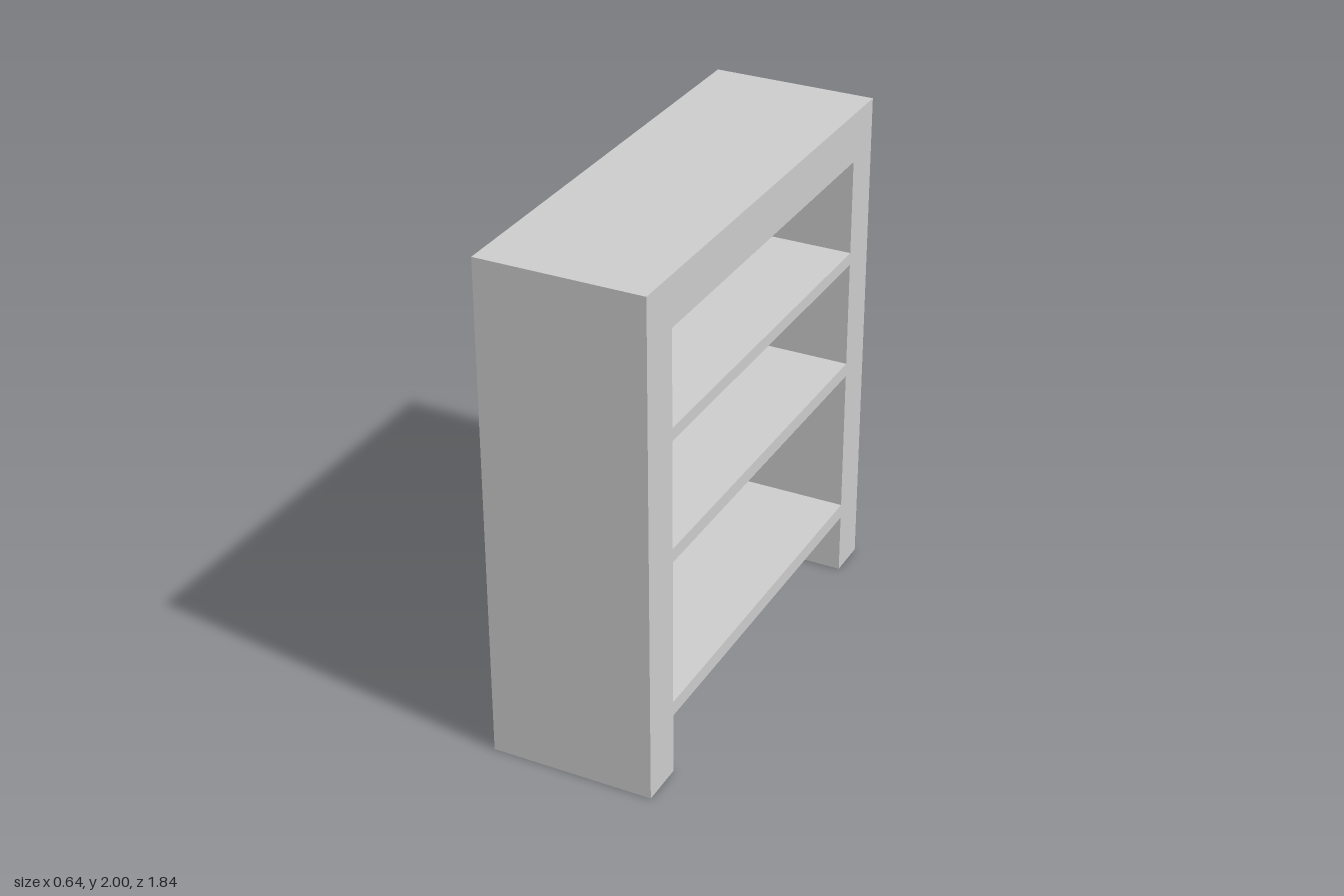
import * as THREE from 'three';

const HALF_DEPTH = 0.322; // along x
const HALF_WIDTH = 0.918; // along z
const HEIGHT = 2;
const INNER_FRONT = 0.74, INNER_BACK = -0.753; // inner faces of the side panels
const TOP_UNDERSIDE = 1.806;

export function createModel() {
  const group = new THREE.Group();
  const material = new THREE.MeshStandardMaterial({ color: 0xcccccc, flatShading: true });

  // Frame: two thick side panels joined by the top, as one arch outline (z, y)
  const outline = new THREE.Shape([
    [-HALF_WIDTH, 0], [INNER_BACK, 0], [INNER_BACK, TOP_UNDERSIDE],
    [INNER_FRONT, TOP_UNDERSIDE], [INNER_FRONT, 0], [HALF_WIDTH, 0],
    [HALF_WIDTH, HEIGHT], [-HALF_WIDTH, HEIGHT],
  ].map(([z, y]) => new THREE.Vector2(z, y)));
  const frameGeometry = new THREE.ExtrudeGeometry(outline, { depth: 2 * HALF_DEPTH, bevelEnabled: false });
  frameGeometry.translate(0, 0, -HALF_DEPTH).rotateY(-Math.PI / 2);
  const frame = new THREE.Mesh(frameGeometry, material);
  frame.name = 'frame';
  group.add(frame);

  // Shelves spanning the opening: [name, underside, upper face]
  const shelves = [
    ['lowerShelf', 0.247, 0.306],
    ['middleShelf', 0.897, 0.952],
    ['upperShelf', 1.38, 1.43],
  ];
  for (const [name, bottom, top] of shelves) {
    const shelf = new THREE.Mesh(
      new THREE.BoxGeometry(2 * HALF_DEPTH, top - bottom, INNER_FRONT - INNER_BACK), material);
    shelf.position.set(0, (bottom + top) / 2, (INNER_FRONT + INNER_BACK) / 2);
    shelf.name = name;
    group.add(shelf);
  }
  return group;
}
